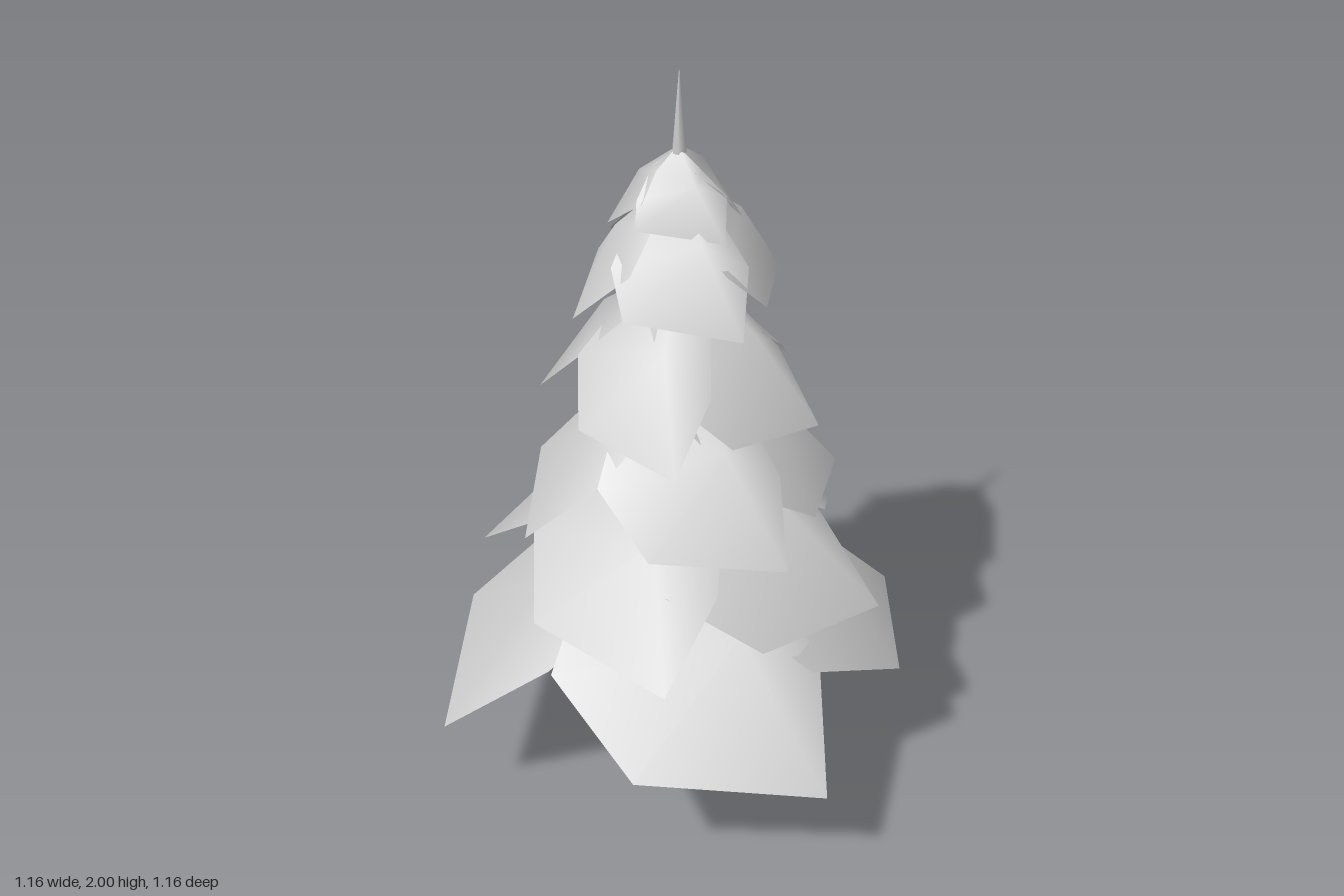
import * as THREE from 'three';

const foliageGrey = new THREE.MeshStandardMaterial({ color: 0xcccccc, side: THREE.DoubleSide });
foliageGrey.name = 'pale grey';

// Bough outline: [angle in degrees from the middle, radius, height above the tip].
// The first point is the ridge the bough folds over, the rest run round its rim.
const BOUGH = [
  [14, 0.55, 0.33],
  [0, 0.03, 0.5], [-82, 0.36, 0.38], [-54, 0.7, 0.21], [-22, 0.88, 0.06],
  [22, 1, 0], [40, 0.68, 0.2], [62, 0.36, 0.37],
];

// Whorls from the ground up: tip height, reach, height scale, turn, angular spread, jitter per bough.
const WHORLS = [
  { y: 0.315, reach: 0.667, rise: 1, turn: 11, spread: 1, jitter: [4, 2, -3, -3] },
  { y: 0.605, reach: 0.53, rise: 0.85, turn: -31, spread: 1.05, jitter: [8, -6, 0, -2] },
  { y: 0.845, reach: 0.43, rise: 0.78, turn: 8, spread: 1.1, jitter: [9, -8, -1, 0] },
  { y: 1.115, reach: 0.355, rise: 0.76, turn: -31, spread: 1.1, jitter: [9, -7, 0, -1] },
  { y: 1.425, reach: 0.28, rise: 0.62, turn: 2, spread: 1.45, jitter: [2, 0, 4, -3] },
  { y: 1.625, reach: 0.17, rise: 0.37, turn: 2, spread: 1.85, jitter: [0, 0, 0] },
];

// A folded fan of triangles around the ridge point
function boughGeometry({ reach, rise, spread }) {
  const positions = [];
  for (const [deg, r, h] of BOUGH) {
    const a = THREE.MathUtils.degToRad(deg * (Math.abs(deg) > 50 ? 1 : spread));
    positions.push(Math.sin(a) * r * reach, h * rise, Math.cos(a) * r * reach);
  }
  const index = [];
  const rim = BOUGH.length - 1;
  for (let i = 0; i < rim; i++) index.push(0, 1 + i, 1 + ((i + 1) % rim));
  const g = new THREE.BufferGeometry();
  g.setAttribute('position', new THREE.Float32BufferAttribute(positions, 3));
  g.setIndex(index);
  g.computeVertexNormals();
  return g;
}

export function createModel() {
  const tree = new THREE.Group();
  tree.name = 'coniferTree';

  // Tapering trunk that ends in a thin spike
  const trunkGroup = new THREE.Group();
  trunkGroup.name = 'trunk';
  const sections = [[0, 0.1], [0.36, 0.08], [1.1, 0.05], [1.8, 0.017], [2, 0.001]];
  for (let i = 0; i < sections.length - 1; i++) {
    const [y0, r0] = sections[i];
    const [y1, r1] = sections[i + 1];
    const part = new THREE.Mesh(new THREE.CylinderGeometry(r1, r0, y1 - y0, 7, 1, i > 0), foliageGrey);
    part.position.y = (y0 + y1) / 2;
    part.name = i === sections.length - 2 ? 'topSpike' : 'trunkSection';
    trunkGroup.add(part);
  }
  tree.add(trunkGroup);

  // Whorls of drooping boughs
  WHORLS.forEach((whorl) => {
    const group = new THREE.Group();
    group.name = 'boughWhorl';
    group.position.y = whorl.y;
    const geometry = boughGeometry(whorl);
    const count = whorl.jitter.length;
    whorl.jitter.forEach((jitter, i) => {
      const bough = new THREE.Mesh(geometry, foliageGrey);
      bough.name = 'bough';
      bough.rotation.y = THREE.MathUtils.degToRad((360 / count) * i + whorl.turn + jitter);
      group.add(bough);
    });
    tree.add(group);
  });

  return tree;
}
